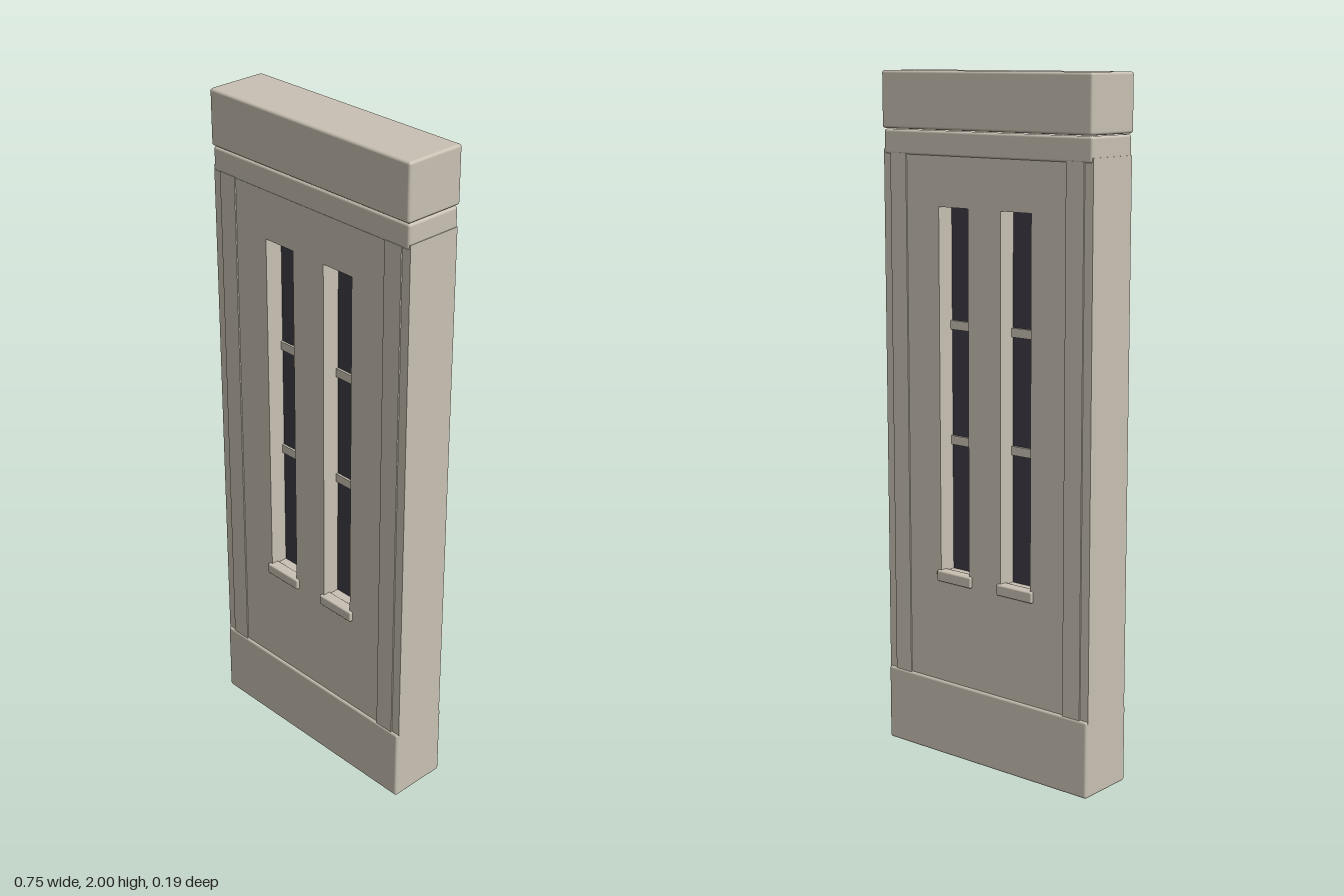
import * as THREE from 'three';
import { RoundedBoxGeometry } from 'three/addons/geometries/RoundedBoxGeometry.js';

export function createModel() {
  const model = new THREE.Group();
  model.name = 'windowWallPanel';
  const stone = new THREE.MeshStandardMaterial({ name: 'stone', color: 0xc9c1b3 });
  const glass = new THREE.MeshStandardMaterial({ name: 'darkGlass', color: 0x3d3b44 });

  const add = (name, geometry, material, x, y, z) => {
    const mesh = new THREE.Mesh(geometry, material);
    mesh.name = name;
    mesh.position.set(x, y, z);
    model.add(mesh);
  };
  // Stone block with softened edges, between two heights
  const block = (name, w, y0, y1, d, x = 0, z = 0, r = 0.008) =>
    add(name, new RoundedBoxGeometry(w, y1 - y0, d, 2, r), stone, x, (y0 + y1) / 2, z);
  const box = (name, w, y0, y1, d, material, x = 0, z = 0) =>
    add(name, new THREE.BoxGeometry(w, y1 - y0, d), material, x, (y0 + y1) / 2, z);

  const winX = 0.113, winW = 0.108, winY0 = 0.56, winY1 = 1.625;
  const wallZ = 0.085;

  // Wall slab with two tall window openings cut through
  const rect = (T, x0, y0, x1, y1) => {
    const p = new T();
    p.moveTo(x0, y0).lineTo(x1, y0).lineTo(x1, y1).lineTo(x0, y1).closePath();
    return p;
  };
  const wall = rect(THREE.Shape, -0.375, 0.2, 0.375, 1.78);
  for (const s of [-1, 1]) {
    wall.holes.push(rect(THREE.Path, s * winX - winW / 2, winY0, s * winX + winW / 2, winY1));
  }
  add('wall', new THREE.ExtrudeGeometry(wall, { depth: 2 * wallZ, bevelEnabled: false }),
    stone, 0, 0, -wallZ);

  // Base, frieze and cap
  block('plinth', 0.75, 0, 0.228, 0.184);
  block('frieze', 0.746, 1.765, 1.836, 0.176);
  block('cap', 0.75, 1.838, 2, 0.186);

  for (const s of [-1, 1]) {
    // Glass set in the middle of the opening
    box('windowPane', winW, winY0, winY1, 0.06, glass, s * winX);
    // Crossbars, just proud of the glass on both faces
    for (const y of [0.948, 1.285]) {
      box('crossbar', winW, y - 0.013, y + 0.013, 0.074, stone, s * winX);
    }
    for (const f of [-1, 1]) {
      // Pilaster strips and window sills on both faces
      box('pilaster', 0.06, 0.22, 1.77, 0.01, stone, s * 0.317, f * (wallZ - 0.001));
      block('sill', 0.13, 0.533, 0.566, 0.034, s * winX, f * 0.077, 0.005);
    }
  }
  return model;
}
